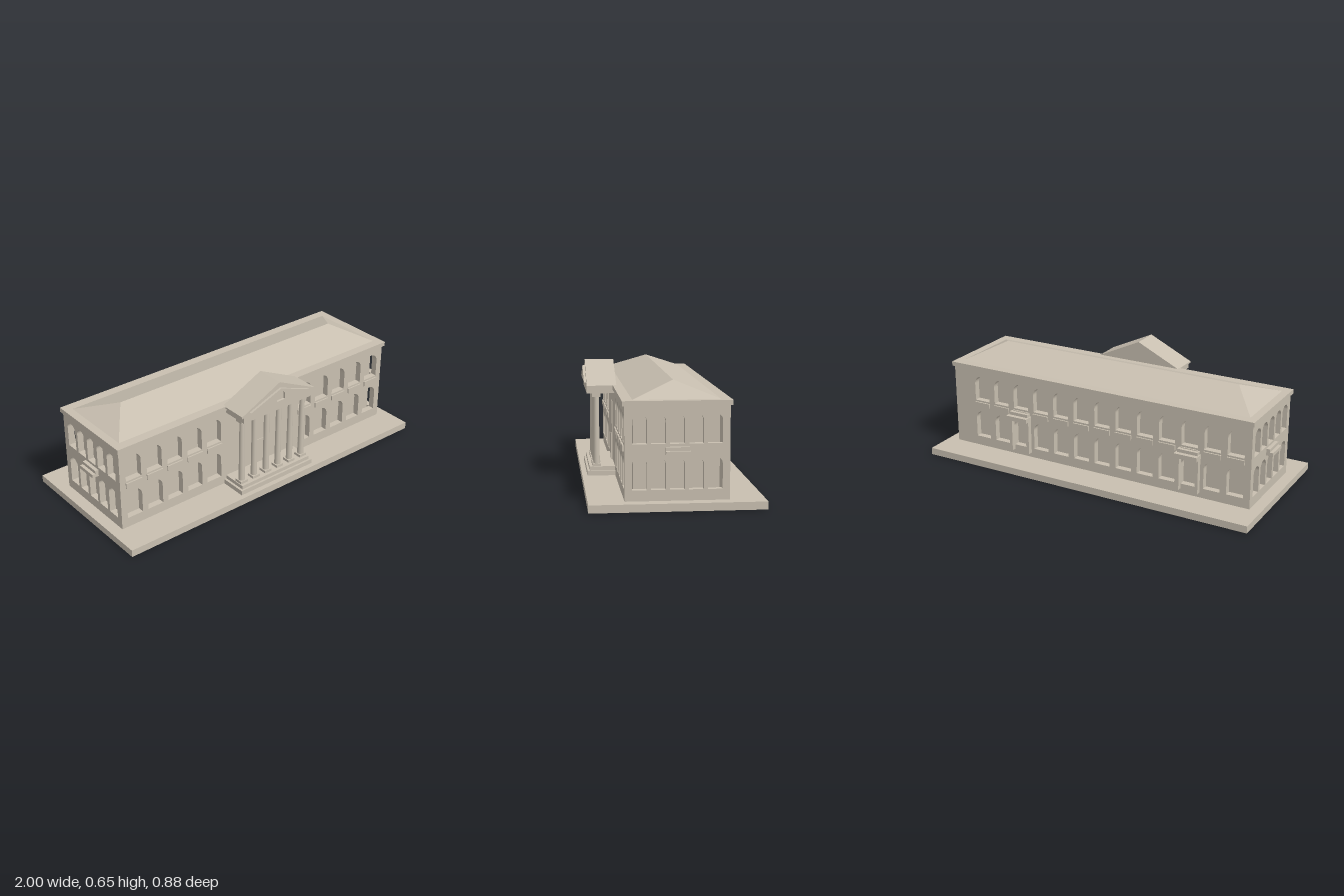
import * as THREE from 'three';

export function createModel() {
  const model = new THREE.Group();
  model.name = 'columnedHall';
  const stone = new THREE.MeshStandardMaterial({ color: 0xc8bfb0 });
  stone.name = 'stone';

  const add = (name, geo, x = 0, y = 0, z = 0, ry = 0) => {
    const m = new THREE.Mesh(geo, stone);
    m.name = name;
    m.position.set(x, y, z);
    m.rotation.y = ry;
    model.add(m);
    return m;
  };
  // Box given by its ranges on each axis
  const box = (name, x0, x1, y0, y1, z0, z1) =>
    add(name, new THREE.BoxGeometry(x1 - x0, y1 - y0, z1 - z0),
      (x0 + x1) / 2, (y0 + y1) / 2, (z0 + z1) / 2);

  // Round-headed opening centred on x
  const arch = (Type, x, w, y0, y1) => {
    const p = new Type(), r = w / 2;
    p.moveTo(x - r, y0);
    p.lineTo(x + r, y0);
    p.lineTo(x + r, y1 - r);
    p.absarc(x, y1 - r, r, 0, Math.PI, false);
    p.lineTo(x - r, y0);
    return p;
  };
  const polygon = (pts) => new THREE.Shape(pts.map(([x, y]) => new THREE.Vector2(x, y)));
  const extrude = (shape, depth) =>
    new THREE.ExtrudeGeometry(shape, { depth, bevelEnabled: false, curveSegments: 12 });

  // Wall with two storeys of arched windows; its outer face looks along +z
  const T = 0.036;
  const wall = (half, xs, w) => {
    const s = polygon([[-half, 0.04], [half, 0.04], [half, 0.51], [-half, 0.51]]);
    for (const x of xs) {
      s.holes.push(arch(THREE.Path, x, w, 0.095, 0.256), arch(THREE.Path, x, w, 0.322, 0.47));
    }
    return extrude(s, T);
  };

  // Ground slab, solid core and walls
  box('groundSlab', -1, 1, 0, 0.04, -0.44, 0.44);
  box('core', -0.89, 0.89, 0.04, 0.51, -0.215, 0.215);
  const frontXs = [];
  for (let i = 0; i < 5; i++) frontXs.push(-0.85 + i * 0.131, 0.85 - i * 0.131);
  const backXs = Array.from({ length: 13 }, (_, i) => -0.848 + i * 0.133);
  const endXs = [-2, -1, 0, 1, 2].map((i) => i * 0.0933);
  add('frontWall', wall(0.935, frontXs, 0.096), 0, 0, 0.26 - T);
  add('backWall', wall(0.935, backXs.map((x) => -x), 0.096), 0, 0, T - 0.26, Math.PI);
  for (const s of [-1, 1]) {
    add('endWall', wall(0.26, endXs, 0.073), s * (0.935 - T), 0, 0, s * Math.PI / 2);
  }

  // Ledges under the upper windows
  for (const x of frontXs) box('windowLedge', x - 0.05, x + 0.05, 0.283, 0.312, 0.255, 0.268);
  for (const x of backXs) box('windowLedge', x - 0.05, x + 0.05, 0.283, 0.312, -0.268, -0.255);

  // Stepped hoods on the end walls
  for (const s of [-1, 1]) {
    const hood = (name, out, y0, y1) =>
      box(name, s > 0 ? 0.93 : -out, s > 0 ? out : -0.93, y0, y1, -0.06, 0.06);
    hood('endHoodLower', 0.973, 0.27, 0.29);
    hood('endHoodUpper', 0.955, 0.29, 0.308);
  }

  // Door surrounds at the back
  for (const c of [backXs[2], backXs[10]]) {
    for (const s of [-1, 1]) {
      box('doorPost', c + s * 0.056 - 0.009, c + s * 0.056 + 0.009, 0.068, 0.265, -0.288, -0.255);
    }
    box('doorHood', c - 0.067, c + 0.067, 0.265, 0.29, -0.313, -0.255);
    box('doorHoodTop', c - 0.06, c + 0.06, 0.29, 0.308, -0.288, -0.255);
  }

  // Cornice and hipped roof
  box('cornice', -0.945, 0.945, 0.51, 0.535, -0.272, 0.272);
  const roof = new THREE.BoxGeometry(1.8, 0.08, 0.436);
  const p = roof.attributes.position;
  for (let i = 0; i < p.count; i++) {
    if (p.getY(i) > 0) {
      p.setX(i, Math.sign(p.getX(i)) * 0.738);
      p.setZ(i, 0);
    }
  }
  roof.computeVertexNormals();
  add('hippedRoof', roof, 0, 0.575, 0);

  // Portico steps
  box('lowerStep', -0.257, 0.257, 0.04, 0.067, 0.25, 0.412);
  box('upperStep', -0.243, 0.243, 0.067, 0.088, 0.25, 0.4);

  // Six columns with plinths and capitals
  for (let i = 0; i < 6; i++) {
    const x = -0.2145 + i * 0.0858;
    box('columnPlinth', x - 0.0235, x + 0.0235, 0.088, 0.103, 0.336, 0.383);
    add('columnShaft', new THREE.CylinderGeometry(0.0145, 0.018, 0.367, 24), x, 0.2865, 0.36);
    box('columnCapital', x - 0.0225, x + 0.0225, 0.47, 0.49, 0.337, 0.383);
  }

  // Entrance door with a tall panel above
  box('entranceDoor', -0.03, 0.03, 0.088, 0.235, 0.255, 0.268);
  box('entrancePanel', -0.03, 0.03, 0.235, 0.42, 0.255, 0.264);

  // Entablature, gable and pediment with a small arched niche
  box('entablature', -0.245, 0.245, 0.49, 0.523, 0.255, 0.412);
  add('gableRoof', extrude(polygon([
    [-0.257, 0.523], [0.257, 0.523], [0.257, 0.533], [0, 0.655], [-0.257, 0.533]]), 0.16), 0, 0, 0.252);
  const pediment = polygon([[-0.206, 0.545], [0.206, 0.545], [0, 0.622]]);
  pediment.holes.push(arch(THREE.Path, 0, 0.056, 0.55, 0.603));
  add('pediment', extrude(pediment, 0.013), 0, 0, 0.412);

  return model;
}
